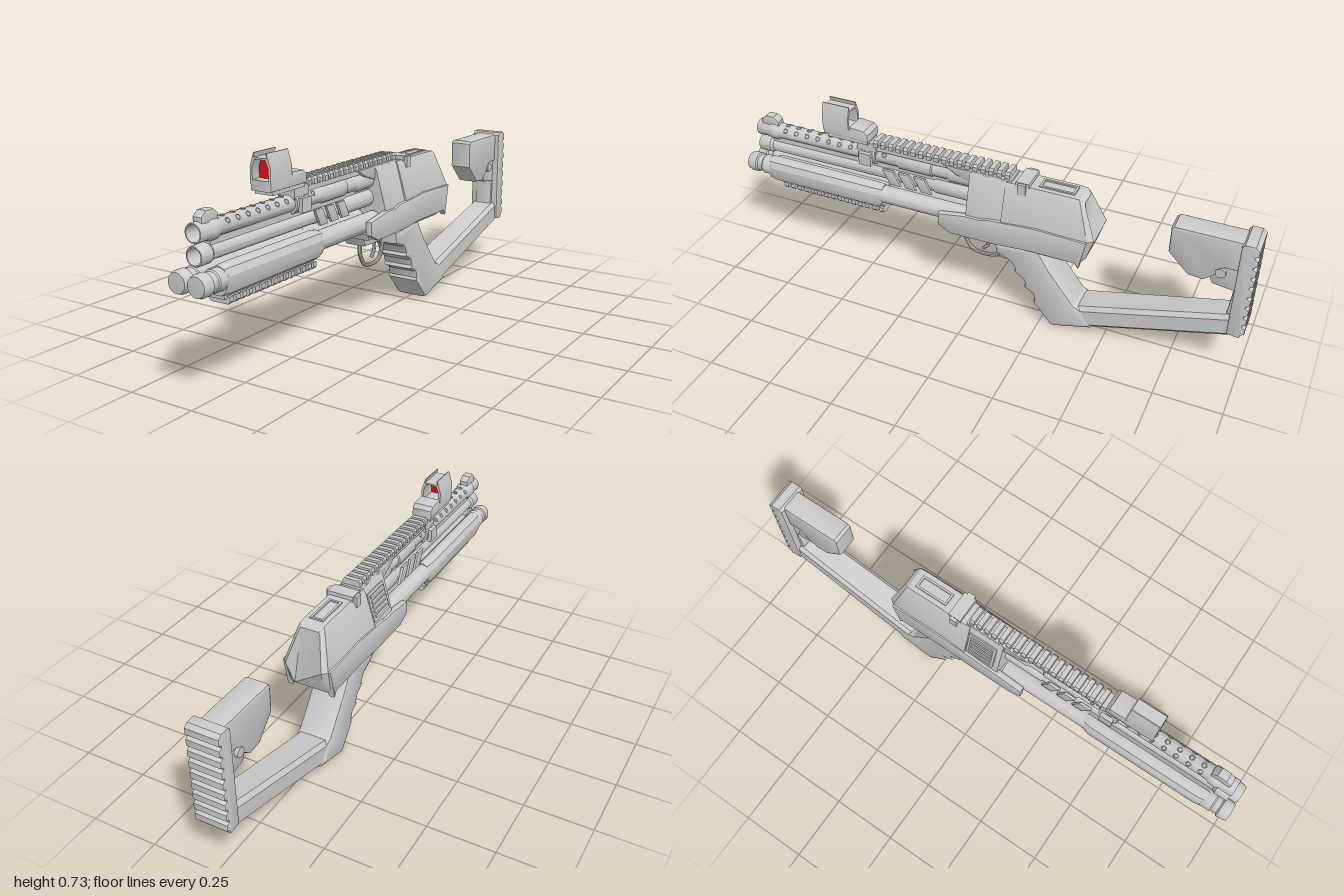
import * as THREE from 'three';
import { toCreasedNormals } from 'three/addons/utils/BufferGeometryUtils.js';

const grey = new THREE.MeshStandardMaterial({ color: 0xcccccc });
const red = new THREE.MeshStandardMaterial({ color: 0xdd1111, side: THREE.DoubleSide });

export function createModel() {
  const model = new THREE.Group();

  const add = (name, geo, parent = model, crease = 0.55) => {
    const mesh = new THREE.Mesh(toCreasedNormals(geo, crease), grey);
    mesh.name = name;
    parent.add(mesh);
    return mesh;
  };
  const group = (name) => {
    const g = new THREE.Group();
    g.name = name;
    model.add(g);
    return g;
  };
  // Box given by its limits in x, y and z
  const box = (name, x0, x1, y0, y1, z0, z1, parent) =>
    add(name, new THREE.BoxGeometry(x1 - x0, y1 - y0, z1 - z0)
      .translate((x0 + x1) / 2, (y0 + y1) / 2, (z0 + z1) / 2), parent);
  // Side outline of [z, y] points, extruded across x with a bevel
  const slab = (name, pts, x0, x1, bevel = 0.008, parent) => {
    const shape = new THREE.Shape(pts.map(([z, y]) => new THREE.Vector2(z, y)));
    const geo = new THREE.ExtrudeGeometry(shape, {
      depth: x1 - x0 - 2 * bevel, bevelEnabled: bevel > 0, bevelSize: bevel,
      bevelThickness: bevel, bevelOffset: -bevel, bevelSegments: 2,
    });
    return add(name, geo.rotateY(-Math.PI / 2).translate(x1 - bevel, 0, 0), parent, 0.45);
  };
  // Turned part along z, from [radius, z] points running rear to front
  const turned = (name, x, y, pts, parent) =>
    add(name, new THREE.LatheGeometry(pts.map(([r, z]) => new THREE.Vector2(r, z)), 32)
      .rotateX(Math.PI / 2).translate(x, y, 0), parent);
  // Skin over mirrored half sections of [x, y, z] points, listed rear to front
  const loft = (name, halves, parent) => {
    const rings = halves.map((h) => [...h, ...h.slice().reverse().map(([x, y, z]) => [-x, y, z])]);
    const n = rings[0].length, index = [], last = (rings.length - 1) * n;
    for (let i = 0; i < rings.length - 1; i++) {
      for (let j = 0; j < n; j++) {
        const a = i * n + j, b = i * n + (j + 1) % n;
        index.push(a, b, b + n, a, b + n, a + n);
      }
    }
    for (let j = 1; j < n - 1; j++) index.push(0, j + 1, j, last, last + j, last + j + 1);
    const geo = new THREE.BufferGeometry();
    geo.setAttribute('position', new THREE.Float32BufferAttribute(rings.flat(2), 3));
    geo.setIndex(index);
    return add(name, geo, parent, 0.4);
  };
  // Slotted accessory rail
  const rail = (name, z0, z1, yBase, yMid, yTip, half, count) => {
    const g = group(name);
    box('railBase', -half * 0.75, half * 0.75, Math.min(yBase, yMid), Math.max(yBase, yMid), z0, z1, g);
    const step = (z1 - z0) / count;
    const wide = yMid + (yMid - yTip) * 0.4, mid = (yMid + yTip) / 2;
    for (let i = 0; i < count; i++) {
      const z = z0 + i * step;
      const shape = new THREE.Shape([[-half, wide], [half, wide], [half, mid], [half * 0.8, yTip],
        [-half * 0.8, yTip], [-half, mid]].map((p) => new THREE.Vector2(...p)));
      add('railTooth', new THREE.ExtrudeGeometry(shape, { depth: step * 0.58, bevelEnabled: false })
        .translate(0, 0, z), g);
    }
  };

  // Barrels, hollow at the muzzle
  const upper = group('upperBarrel');
  turned('barrel', 0, 0.54, [[0, 0], [0.036, 0], [0.036, 0.13], [0.03, 0.14], [0.03, 0.2], [0.034, 0.205],
    [0.034, 0.34], [0.029, 0.35], [0.029, 0.86], [0.036, 0.875], [0.036, 0.9], [0.031, 0.91],
    [0.033, 0.955], [0.031, 0.96], [0.027, 0.96], [0.025, 0.82], [0, 0.82]], upper);
  for (let i = 0; i < 10; i++) {
    for (const a of [-0.95, 0, 0.95]) {
      const vent = add('ventRing', new THREE.TorusGeometry(0.008, 0.002, 6, 14), upper);
      vent.position.set(0.029 * Math.sin(a), 0.54 + 0.029 * Math.cos(a), 0.4 + i * 0.048);
      vent.rotation.set(-Math.PI / 2, a, 0, 'ZYX');
      vent.rotation.set(-Math.PI / 2, 0, 0);
      vent.rotateY(a);
    }
  }
  slab('frontSight', [[0.94, 0.56], [0.94, 0.585], [0.92, 0.603], [0.885, 0.603], [0.865, 0.585], [0.865, 0.56]],
    -0.018, 0.018, 0.004, upper);
  turned('lowerBarrel', 0, 0.47, [[0, 0], [0.033, 0], [0.033, 0.19], [0.028, 0.2], [0.028, 0.38], [0.026, 0.385],
    [0.026, 0.9], [0.033, 0.91], [0.033, 0.955], [0.031, 0.96], [0.027, 0.96], [0.025, 0.8], [0, 0.8]]);
  box('barrelWeb', -0.012, 0.012, 0.49, 0.52, 0.04, 0.9);

  // Slanted shroud bands beside the lower barrel
  for (const s of [-1, 1]) {
    for (let i = 0; i < 3; i++) {
      const z = 0.2 + i * 0.065;
      slab('shroudBand', [[z, 0.44], [z + 0.045, 0.44], [z + 0.075, 0.5], [z + 0.03, 0.5]],
        s * 0.031 - 0.006, s * 0.031 + 0.006, 0.003);
    }
  }

  // Clamp around the upper barrel
  const clamp = group('barrelClamp');
  for (const z of [0.435, 0.48]) {
    turned('clampRing', 0, 0.54, [[0.028, z], [0.038, z], [0.038, z + 0.025], [0.028, z + 0.025]], clamp);
  }
  box('clampBody', -0.03, 0.03, 0.555, 0.598, 0.43, 0.51, clamp);
  for (const s of [-1, 1]) {
    box('clampLug', s * 0.042 - 0.008, s * 0.042 + 0.008, 0.51, 0.56, 0.445, 0.495, clamp);
  }

  // Twin tubes with end caps
  for (const s of [-1, 1]) {
    turned('magazineTube', s * 0.038, 0.393, [[0, 0.05], [0.034, 0.05], [0.034, 0.89], [0.037, 0.895], [0.037, 0.93],
      [0.033, 0.935], [0.033, 0.955], [0.038, 0.96], [0.038, 0.985], [0.033, 0.998], [0, 1]]);
  }

  // Forend grip
  const forendRing = (z, k) => [[0, 0.337], [0.05, 0.337], [0.068, 0.35], [0.077, 0.375], [0.077, 0.405],
    [0.066, 0.428], [0.045, 0.437], [0.03, 0.437], [0.01, 0.415]]
    .map(([x, y]) => [x * k, 0.39 + (y - 0.39) * k, z]);
  loft('forend', [forendRing(0.4, 0.88), forendRing(0.43, 1), forendRing(0.87, 1), forendRing(0.9, 0.93)]);
  rail('lowerRail', 0.41, 0.87, 0.342, 0.318, 0.3, 0.042, 15);

  // Top rail and its bridge to the receiver
  rail('topRail', -0.11, 0.45, 0.57, 0.597, 0.616, 0.035, 18);
  slab('railBridge', [[0.15, 0.592], [-0.12, 0.592], [-0.12, 0.56], [0.04, 0.54], [0.1, 0.56]], -0.04, 0.04, 0.004);

  // Reflex sight
  const sight = group('reflexSight');
  const hood = new THREE.Shape([[-0.041, 0.625], [0.041, 0.625], [0.041, 0.68], [0.026, 0.728], [0.022, 0.728],
    [0.026, 0.712], [-0.026, 0.712], [-0.022, 0.728], [-0.026, 0.728], [-0.041, 0.68]]
    .map((p) => new THREE.Vector2(...p)));
  const lensPts = [[-0.032, 0.64], [0.032, 0.64], [0.032, 0.68], [0.021, 0.706], [-0.021, 0.706], [-0.032, 0.68]]
    .map((p) => new THREE.Vector2(...p));
  hood.holes.push(new THREE.Path(lensPts.slice().reverse()));
  add('sightHood', new THREE.ExtrudeGeometry(hood, { depth: 0.11, bevelEnabled: false }).translate(0, 0, 0.535), sight);
  const lens = add('lens', new THREE.ShapeGeometry(new THREE.Shape(lensPts)).translate(0, 0, 0.61), sight);
  lens.material = red;
  slab('sightBase', [[0.645, 0.605], [0.645, 0.636], [0.535, 0.64], [0.53, 0.655], [0.47, 0.65], [0.456, 0.635],
    [0.456, 0.605]], -0.041, 0.041, 0.004, sight);
  box('sightMount', -0.036, 0.036, 0.592, 0.61, 0.46, 0.63, sight);

  // Receiver
  const section = (z, w) => [[w - 0.012, 0.335, z], [w, 0.35, z], [w, 0.435, z], [w * 0.56, 0.572, z],
    [w * 0.48, 0.585, z]];
  loft('receiverFront', [section(-0.12, 0.084), section(0.04, 0.084)]);
  loft('receiverRear', [
    [[0.055, 0.35, -0.415], [0.065, 0.365, -0.42], [0.07, 0.445, -0.445], [0.04, 0.56, -0.397], [0.034, 0.57, -0.393]],
    [[0.07, 0.338, -0.4], [0.082, 0.352, -0.405], [0.086, 0.442, -0.425], [0.05, 0.572, -0.38], [0.043, 0.583, -0.375]],
    section(-0.34, 0.092), section(-0.1, 0.092)]);
  for (const s of [-1, 1]) {
    slab('sidePanel', [[0.15, 0.41], [0.04, 0.428], [-0.02, 0.428], [-0.05, 0.437], [-0.23, 0.45], [-0.425, 0.444],
      [-0.4, 0.325], [-0.385, 0.345], [-0.2, 0.345], [-0.08, 0.335], [0.1, 0.333], [0.15, 0.36]],
    s * 0.082 - 0.013, s * 0.082 + 0.013, 0.006);
  }
  slab('lowerReceiver', [[0.14, 0.36], [0.12, 0.4], [-0.4, 0.4], [-0.4, 0.34], [-0.26, 0.335], [0.13, 0.335]],
    -0.074, 0.074);
  slab('triggerHousing', [[0.13, 0.345], [0.11, 0.305], [0.02, 0.302], [-0.07, 0.315], [-0.25, 0.33], [-0.25, 0.35]],
    -0.045, 0.045);

  // Top hatch frame
  const hatch = group('topHatch');
  for (const s of [-1, 1]) {
    box('hatchSide', s * 0.022 - 0.004, s * 0.022 + 0.004, 0.58, 0.59, -0.35, -0.22, hatch);
    box('hatchEnd', -0.026, 0.026, 0.58, 0.59, -0.285 + s * 0.062 - 0.004, -0.285 + s * 0.062 + 0.004, hatch);
  }

  // Latch strap across the receiver
  const latch = group('receiverLatch');
  box('latchTop', -0.05, 0.05, 0.58, 0.6, -0.19, -0.14, latch);
  for (const s of [-1, 1]) box('latchTab', s * 0.054 - 0.007, s * 0.054 + 0.007, 0.555, 0.597, -0.18, -0.15, latch);

  // Ribbed ejection port on the right side
  const port = group('ejectionPort');
  port.position.set(-0.064, 0.505, -0.04);
  port.rotation.z = -0.29;
  box('portCover', -0.008, 0.004, -0.055, 0.055, -0.055, 0.06, port);
  for (let i = 0; i < 5; i++) {
    box('portRib', -0.013, 0, -0.042 + i * 0.019, -0.032 + i * 0.019, -0.045, 0.05, port);
  }

  // Trigger and guard
  const curve = (pts) => new THREE.CatmullRomCurve3(pts.map(([z, y]) => new THREE.Vector3(0, y, z)));
  add('triggerGuard', new THREE.TubeGeometry(curve([[0.08, 0.315], [0.08, 0.265], [0.05, 0.217], [0, 0.206],
    [-0.05, 0.217], [-0.072, 0.26], [-0.075, 0.31]]), 36, 0.008, 10));
  add('trigger', new THREE.TubeGeometry(curve([[0, 0.315], [-0.018, 0.28], [-0.012, 0.25], [0.006, 0.23]]),
    14, 0.007, 8));

  // Pistol grip with finger grooves
  slab('grip', [[-0.065, 0.32], [-0.07, 0.275], [-0.13, 0.25], [-0.148, 0.22], [-0.142, 0.208], [-0.18, 0.185],
    [-0.19, 0.16], [-0.183, 0.148], [-0.22, 0.128], [-0.228, 0.1], [-0.222, 0.09], [-0.295, 0.003], [-0.31, 0],
    [-0.46, 0.042], [-0.41, 0.115], [-0.385, 0.125], [-0.285, 0.255], [-0.235, 0.335]], -0.068, 0.068, 0.018);

  // Stock arm
  const armRing = (zTop, zBottom, top, bottom, w) => [[w - 0.014, bottom, zBottom], [w, bottom + 0.016, zBottom],
    [w, top - 0.016, zTop], [w - 0.014, top, zTop]];
  loft('stockArm', [armRing(-0.96, -0.96, 0.268, 0.175, 0.054), armRing(-0.39, -0.44, 0.118, 0.037, 0.064)]);

  // Butt plate with ridged back
  const plate = [[-0.94, 0.19], [-0.94, 0.565], [-0.95, 0.577], [-0.985, 0.577]];
  for (let i = 0; i < 9; i++) {
    const y = 0.565 - i * 0.042;
    plate.push([-1, y], [-1, y - 0.024], [-0.988, y - 0.03], [-0.988, y - 0.036]);
  }
  plate.push([-0.985, 0.185]);
  slab('buttPlate', plate, -0.062, 0.062, 0.004);

  // Cheek rest, support and pivot
  slab('cheekRest', [[-0.7, 0.56], [-0.71, 0.57], [-0.95, 0.57], [-0.95, 0.45], [-0.895, 0.45], [-0.86, 0.405],
    [-0.83, 0.38], [-0.775, 0.385], [-0.7, 0.46]], -0.045, 0.045, 0.01);
  slab('cheekSupport', [[-0.85, 0.5], [-0.96, 0.5], [-0.96, 0.22], [-0.925, 0.25], [-0.935, 0.36], [-0.86, 0.37],
    [-0.845, 0.4]], -0.037, 0.037, 0.006);
  add('cheekPivot', new THREE.CylinderGeometry(0.018, 0.018, 0.1, 20).rotateZ(Math.PI / 2)
    .translate(0, 0.43, -0.885));

  return model;
}
